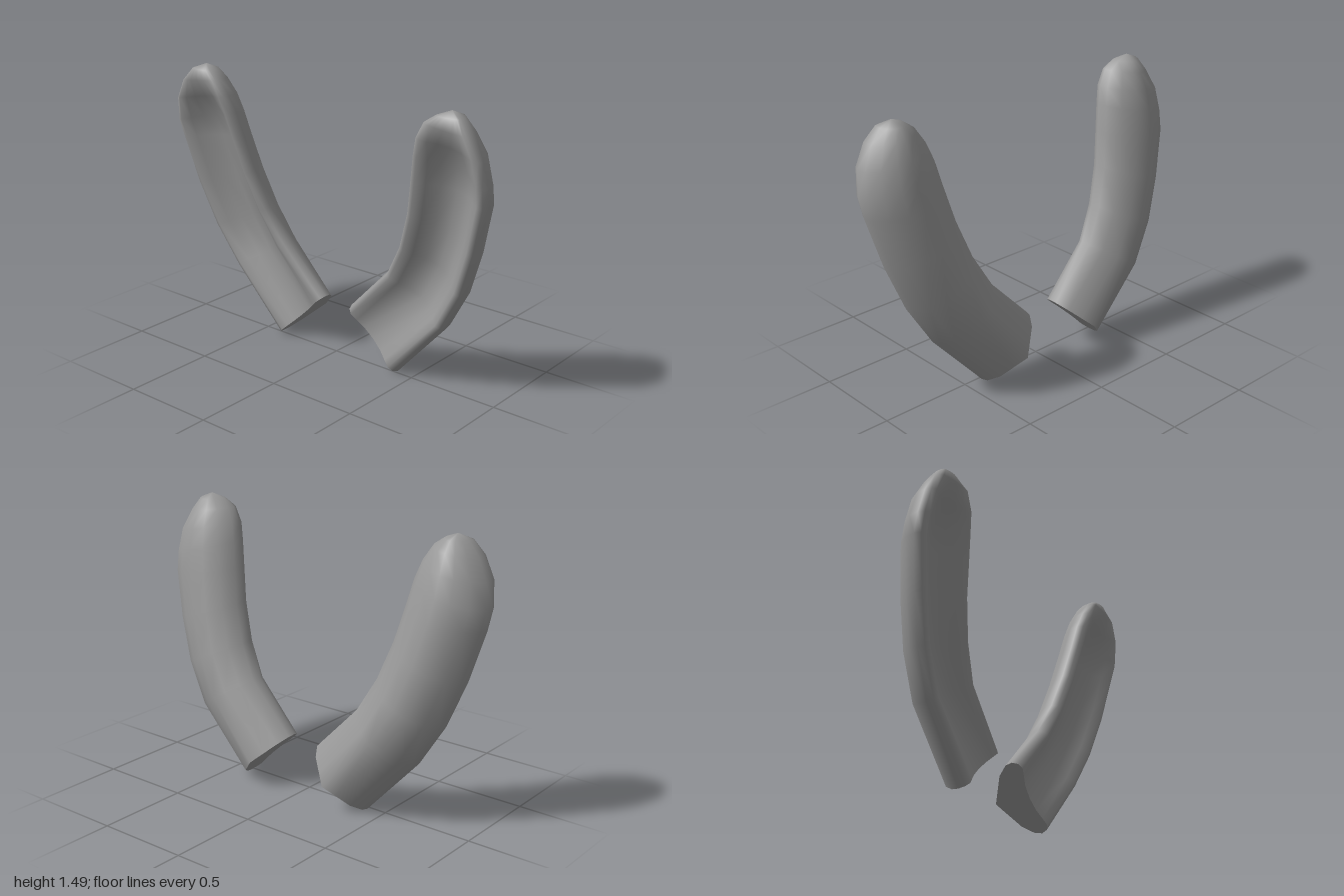
import * as THREE from 'three';
import { mergeVertices } from 'three/addons/utils/BufferGeometryUtils.js';

// Sections from base to tip:
// outer edge x, y; inner edge x, y; front z, back z; hollow (negative = domed); pointedness of the back
const SECTIONS = [
  [0.40, 0.00, 0.09, 0.29, 0.03, -0.205, 0.3, 1],
  [0.70, 0.33, 0.34, 0.55, 0.043, -0.185, 0.85, 0.2],
  [0.83, 0.55, 0.44, 0.73, 0.075, -0.155, 1, 0],
  [0.92, 0.79, 0.51, 0.93, 0.112, -0.12, 1, 0],
  [0.99, 1.05, 0.55, 1.11, 0.147, -0.08, 1, 0],
  [1.00, 1.15, 0.58, 1.25, 0.172, -0.053, 0.95, 0],
  [0.98, 1.28, 0.61, 1.34, 0.193, -0.025, 0.5, 0],
  [0.92, 1.39, 0.66, 1.42, 0.197, 0.02, -0.08, 0],
  [0.86, 1.46, 0.72, 1.46, 0.175, 0.06, -0.2, 0],
  [0.79, 1.487, 0.79, 1.487, 0.13, 0.13, 0, 0],
];

// Half of the cross-section, from the mid front over the rim to the mid back:
// position across (0 = edge, 0.5 = middle), height (0 = back, 1 = front), hollow depth, pointed rise
const HALF = [
  [0.5, 1, 0.47, 0], [0.32, 1, 0.37, 0], [0.2, 1, 0.16, 0], [0.1, 1, 0.01, 0],
  [0.035, 0.94, 0, 0], [0, 0.8, 0, 0], [0.02, 0.57, 0, 0.06],
  [0.14, 0.28, 0, 0.1], [0.32, 0.07, 0, 0.12], [0.5, 0, 0, 0],
];
// Full loop: front from outer to inner edge, then around the back
const PROFILE = [
  ...HALF.slice(0, -1).map(([u, ...rest]) => [1 - u, ...rest]),
  ...HALF.slice(1).reverse(),
];

function sectionPoint([ox, oy, ix, iy, zf, zb, hollow, pointed], [u, w, d, rise], side) {
  return [
    side * THREE.MathUtils.lerp(ox, ix, u),
    THREE.MathUtils.lerp(oy, iy, u),
    THREE.MathUtils.lerp(zb, zf, w - d * hollow + rise * pointed),
  ];
}

function makeGeometry(positions, index, side) {
  if (side < 0) {
    for (let i = 0; i < index.length; i += 3) {
      [index[i + 1], index[i + 2]] = [index[i + 2], index[i + 1]];
    }
  }
  let g = new THREE.BufferGeometry();
  g.setAttribute('position', new THREE.Float32BufferAttribute(positions, 3));
  g.setIndex(index);
  g = mergeVertices(g, 1e-5);
  g.computeVertexNormals();
  return g;
}

// Skin lofted through all sections
function shellGeometry(side) {
  const n = PROFILE.length;
  const positions = SECTIONS.flatMap((s) => PROFILE.flatMap((p) => sectionPoint(s, p, side)));
  const index = [];
  for (let r = 0; r < SECTIONS.length - 1; r++) {
    for (let j = 0; j < n; j++) {
      const a = r * n + j, c = r * n + ((j + 1) % n);
      const b = a + n, d = c + n;
      index.push(a, b, c);
      if (r < SECTIONS.length - 2) index.push(c, b, d);
    }
  }
  return makeGeometry(positions, index, side);
}

// Flat cut at the base
function baseGeometry(side) {
  const n = PROFILE.length;
  const positions = PROFILE.flatMap((p) => sectionPoint(SECTIONS[0], p, side));
  positions.push(...sectionPoint(SECTIONS[0], [0.5, 0.5, 0, 0], side));
  const index = [];
  for (let j = 0; j < n; j++) index.push(n, j, (j + 1) % n);
  return makeGeometry(positions, index, side);
}

export function createModel() {
  const model = new THREE.Group();
  model.name = 'ears';
  const material = new THREE.MeshStandardMaterial({ color: 0x999999 });
  for (const side of [1, -1]) {
    const ear = new THREE.Group();
    ear.name = side > 0 ? 'leftEar' : 'rightEar';
    const shell = new THREE.Mesh(shellGeometry(side), material);
    shell.name = 'earShell';
    const base = new THREE.Mesh(baseGeometry(side), material);
    base.name = 'earBase';
    ear.add(shell, base);
    model.add(ear);
  }
  return model;
}
